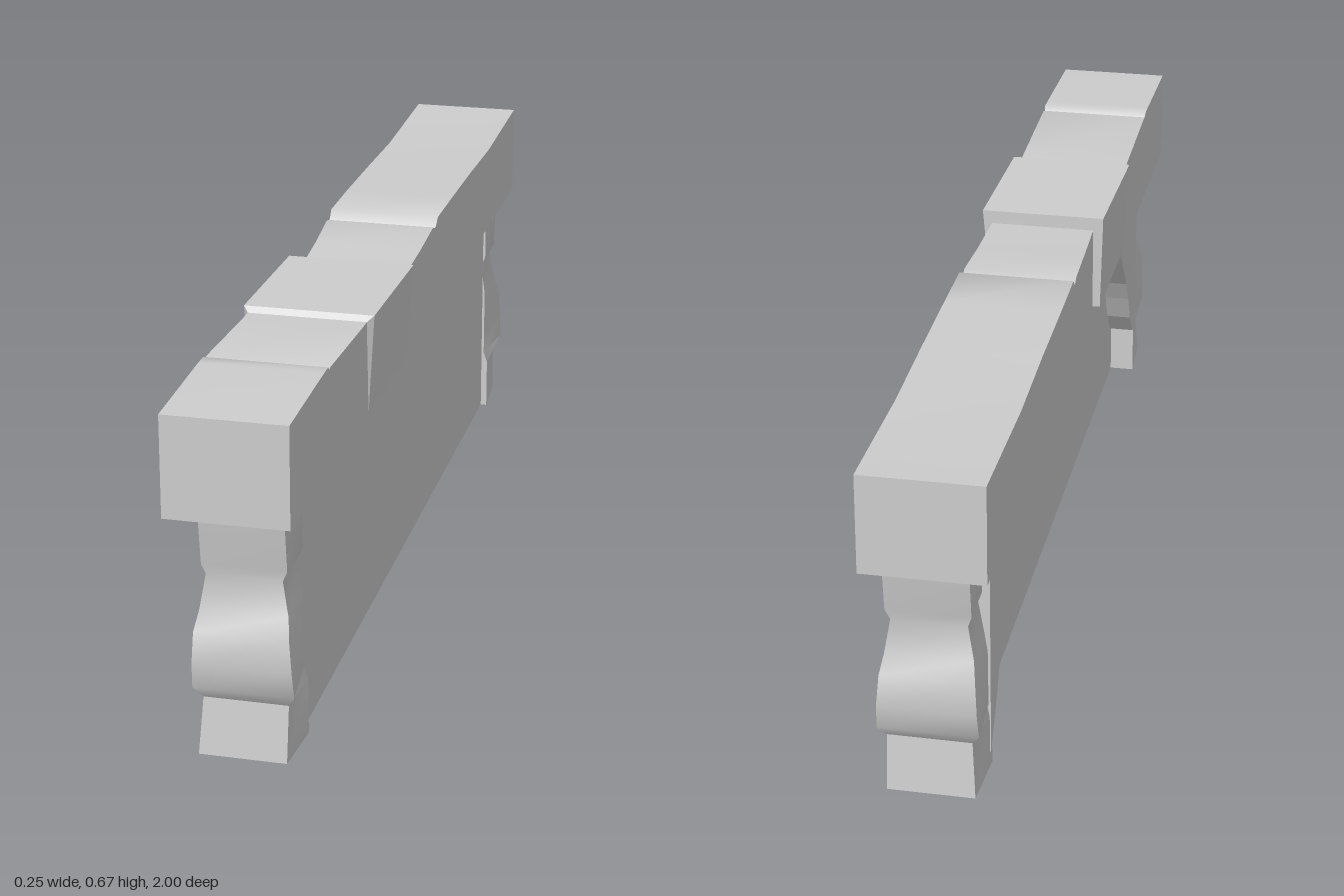
import * as THREE from 'three';
import { toCreasedNormals } from 'three/addons/utils/BufferGeometryUtils.js';

// Skin a list of four-cornered cross-sections: caps close the ends, closed adds the fourth side
function skin(rings, crease, { caps = false, closed = false }) {
  const index = [];
  for (let k = 0; k < rings.length - 1; k++) {
    for (let i = 0; i < (closed ? 4 : 3); i++) {
      const a = k * 4 + i, b = k * 4 + (i + 1) % 4;
      index.push(a, b, b + 4, a, b + 4, a + 4);
    }
  }
  if (caps) {
    const e = (rings.length - 1) * 4;
    index.push(0, 2, 1, 0, 3, 2, e, e + 1, e + 2, e, e + 2, e + 3);
  }
  const g = new THREE.BufferGeometry();
  g.setAttribute('position', new THREE.Float32BufferAttribute(rings.flat(2), 3));
  g.setIndex(index);
  return toCreasedNormals(g, crease);
}

export function createModel() {
  const group = new THREE.Group();
  const stone = new THREE.MeshStandardMaterial({ color: 0xcccccc, side: THREE.DoubleSide });
  stone.name = 'stone';
  const add = (name, geometry) => {
    const mesh = new THREE.Mesh(geometry, stone);
    mesh.name = name;
    group.add(mesh);
    return mesh;
  };

  // Worn top beam, open below: z, left and right edge, top height, left and right flare at the top
  const beam = [
    [-1, -0.117, 0.107, 0.66, 0, 0],
    [-0.7, -0.117, 0.107, 0.65, 0, 0],
    [-0.5, -0.116, 0.107, 0.656, 0, 0],
    [-0.3, -0.116, 0.107, 0.659, 0, 0],
    [-0.165, -0.115, 0.107, 0.66, 0, 0],
    [-0.145, -0.114, 0.106, 0.643, 0, 0],
    [-0.12, -0.113, 0.106, 0.65, 0, 0],
    [0, -0.107, 0.106, 0.64, 0, 0],
    [0.145, -0.101, 0.106, 0.634, 0, 0],
    [0.146, -0.116, 0.109, 0.66, 0.005, 0.016],
    [0.445, -0.118, 0.108, 0.66, 0.009, 0.011],
    [0.455, -0.117, 0.107, 0.65, 0, 0],
    [0.47, -0.117, 0.107, 0.65, 0, 0],
    [0.722, -0.117, 0.107, 0.662, 0, 0],
    [0.73, -0.116, 0.106, 0.659, 0, 0],
    [0.74, -0.117, 0.107, 0.667, 0, 0],
    [0.77, -0.117, 0.107, 0.667, 0, 0],
    [1, -0.117, 0.107, 0.66, 0, 0],
  ];
  add('topBeam', skin(beam.map(([z, l, r, t, fl, fr]) => {
    const b = 0.466 + 0.006 * Math.abs(z);
    return [[r, b, z], [r + fr, t, z], [l - fl, t, z], [l, b, z]];
  }), 0.75, { caps: true }));

  // Chipped end posts, hollow below: height, left and right edge, outer distance
  const post = [
    [0, -0.08, 0.08, 0.94],
    [0.107, -0.073, 0.081, 0.927],
    [0.13, -0.088, 0.095, 0.943],
    [0.18, -0.086, 0.093, 0.951],
    [0.24, -0.083, 0.088, 0.947],
    [0.275, -0.077, 0.082, 0.926],
    [0.34, -0.066, 0.071, 0.92],
    [0.36, -0.073, 0.08, 0.924],
    [0.48, -0.073, 0.08, 0.941],
  ];
  for (const side of [1, -1]) {
    add(side > 0 ? 'frontPost' : 'backPost', skin(post.map(([y, l, r, out], i) => {
      // the foot widens towards the panel, the rest tapers to meet it
      const il = i < 2 ? -0.086 : Math.max(l, -0.082);
      const ir = i < 2 ? 0.088 : Math.min(r, 0.08);
      const ring = [[il, y, side * 0.82], [l, y, side * out], [r, y, side * out], [ir, y, side * 0.82]];
      return side > 0 ? ring : ring.reverse();
    }), 0.7, { closed: true }));
  }

  // Two faces of the panel between the posts, open below
  for (const [name, x, turn] of [['panelLeft', 0.075, 1], ['panelRight', -0.035, -1]]) {
    const face = add(name, new THREE.PlaneGeometry(1.65, 0.55).rotateY(turn * Math.PI / 2));
    face.position.set(x, 0.275, 0);
  }

  // Corner braces on the right side, from post to beam
  const braces = {
    frontBrace: [[0.835, 0.1], [0.8, 0.11], [0.76, 0.16], [0.73, 0.22], [0.7, 0.27],
      [0.53, 0.473], [0.835, 0.473]],
    backBrace: [[-0.835, 0.03], [-0.8, 0.08], [-0.75, 0.17], [-0.64, 0.33],
      [-0.54, 0.473], [-0.835, 0.473]],
  };
  for (const [name, points] of Object.entries(braces)) {
    const shape = new THREE.Shape(points.map(([z, y]) => new THREE.Vector2(z, y)));
    const g = new THREE.ExtrudeGeometry(shape, { depth: 0.052, bevelEnabled: false });
    add(name, g.rotateY(-Math.PI / 2)).position.x = -0.035;
  }
  return group;
}
